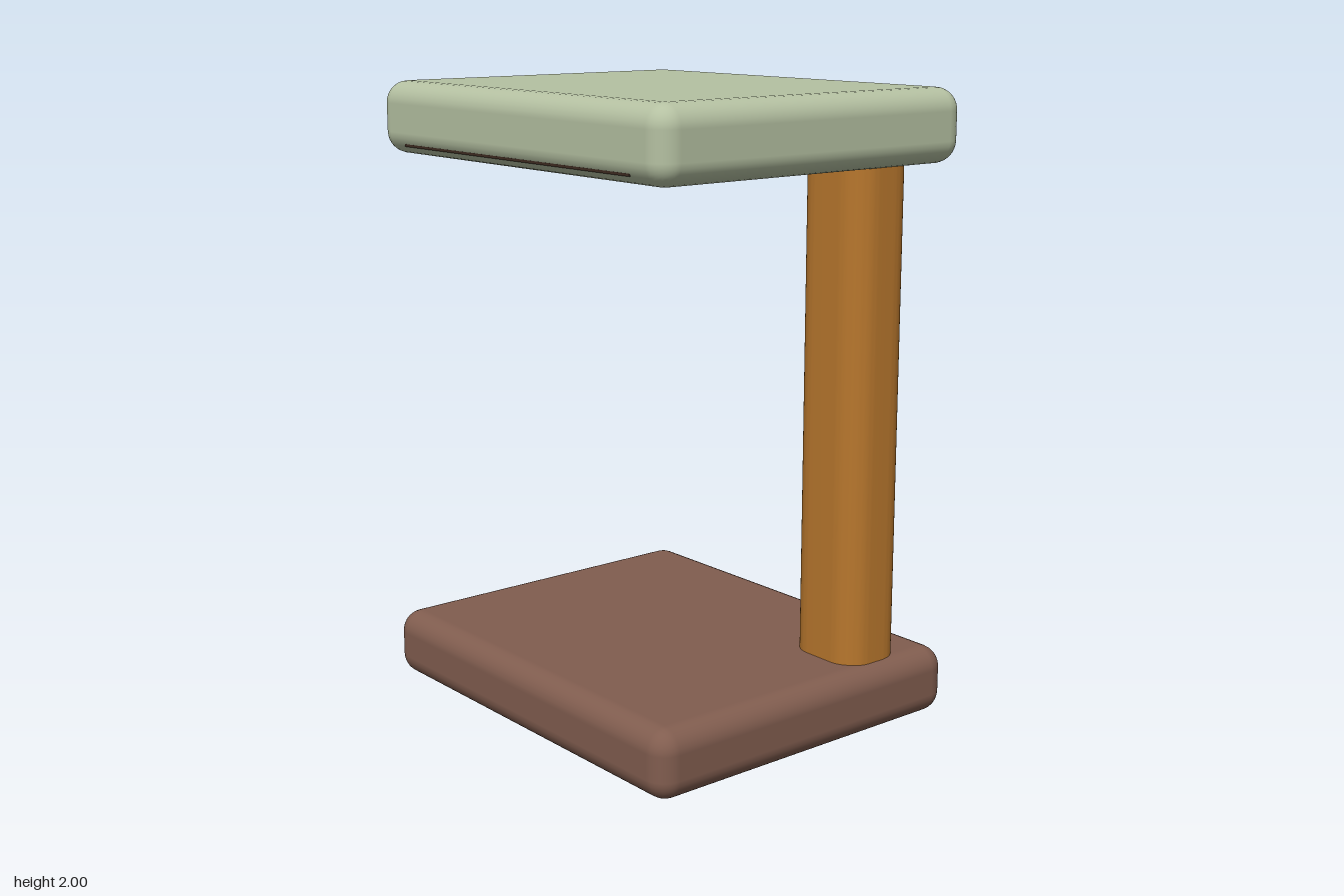
import * as THREE from 'three';
import { RoundedBoxGeometry } from 'three/addons/geometries/RoundedBoxGeometry.js';
import { toCreasedNormals } from 'three/addons/utils/BufferGeometryUtils.js';

const material = (name, color) => {
  const m = new THREE.MeshStandardMaterial({ color });
  m.name = name;
  return m;
};

// Rectangle outline with rounded corners, centred on the origin
function roundedRect(w, h, r) {
  const s = new THREE.Shape();
  const x = w / 2 - r, y = h / 2 - r;
  s.absarc(x, y, r, 0, Math.PI / 2);
  s.absarc(-x, y, r, Math.PI / 2, Math.PI);
  s.absarc(-x, -y, r, Math.PI, Math.PI * 1.5);
  s.absarc(x, -y, r, Math.PI * 1.5, Math.PI * 2);
  s.closePath();
  return s;
}

export function createModel() {
  const group = new THREE.Group();
  const sage = material('sage green', 0xb5c1a2);
  const brown = material('cocoa brown', 0x815d4f);
  const wood = material('honey wood', 0xb8772d);
  const dark = material('seam brown', 0x3d2a20);

  const add = (name, geometry, mat, x, y, z) => {
    const mesh = new THREE.Mesh(geometry, mat);
    mesh.name = name;
    mesh.position.set(x, y, z);
    group.add(mesh);
    return mesh;
  };

  // Matching slabs at the foot and the top
  const slab = (name, height, y, mat) =>
    add(name, new RoundedBoxGeometry(1.435, height, 1.19, 4, 0.07), mat, 0, y, 0);
  slab('base', 0.22, 0.11, brown);
  slab('topSlab', 0.23, 1.885, sage);

  // Off-centre post near the back corner, sunk into both slabs
  let post = new THREE.ExtrudeGeometry(roundedRect(0.275, 0.235, 0.085), {
    depth: 1.62, bevelEnabled: false, curveSegments: 8,
  });
  post.rotateX(-Math.PI / 2);
  post = toCreasedNormals(post, 0.6);
  add('post', post, wood, 0.528, 0.19, -0.318);

  // Fine seams low on the long edges of the top slab
  for (const side of [-1, 1]) {
    add(side < 0 ? 'backSeam' : 'frontSeam',
      new THREE.BoxGeometry(1.15, 0.008, 0.008), dark, -0.005, 1.801, side * 0.582);
  }

  return group;
}
